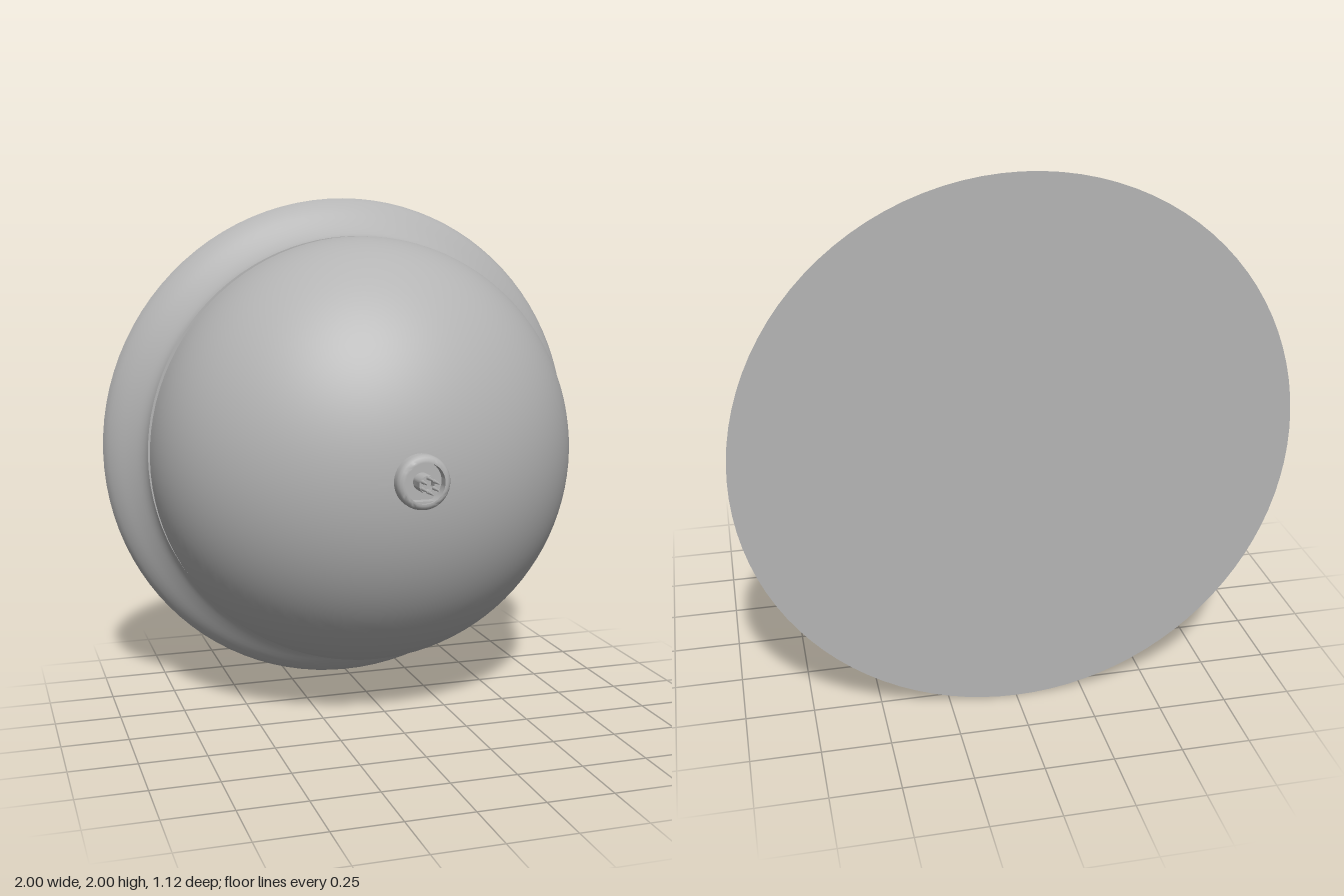
import * as THREE from 'three';
import { toCreasedNormals } from 'three/addons/utils/BufferGeometryUtils.js';

const grey = new THREE.MeshStandardMaterial({ color: 0xb4b4b4 });
grey.name = 'plain grey';

export function createModel() {
  const model = new THREE.Group();
  model.name = 'domeBell';
  // everything turns about the z axis at mid height
  const body = new THREE.Group();
  body.name = 'body';
  body.position.y = 1;
  model.add(body);

  function add(name, geometry, x = 0, y = 0, z = 0) {
    const mesh = new THREE.Mesh(geometry, grey);
    mesh.name = name;
    mesh.position.set(x, y, z);
    body.add(mesh);
    return mesh;
  }

  // profile of [radius, z] pairs, running from back to front on the outside
  function turned(name, profile, segments = 96) {
    const points = profile.map(([r, z]) => new THREE.Vector2(r, z));
    const geometry = new THREE.LatheGeometry(points, segments).rotateX(Math.PI / 2);
    return add(name, toCreasedNormals(geometry, 0.6));
  }

  // wall base: flat back, flared S-shaped side, flat front
  const flare = new THREE.SplineCurve([
    [1, -0.56], [0.987, -0.53], [0.957, -0.495], [0.91, -0.455],
    [0.875, -0.42], [0.857, -0.39], [0.85, -0.362],
  ].map(([r, z]) => new THREE.Vector2(r, z))).getPoints(18).map((p) => [p.x, p.y]);
  turned('wallBase', [[0, -0.56], ...flare, [0, -0.362]]);

  // hollow dome: outer wall up to the crown, inner wall back to the rim
  const outer = [], inner = [];
  const steps = 28;
  for (let i = 0; i <= steps; i++) {
    const a = (i / steps) * Math.PI / 2;
    const c = i === steps ? 0 : Math.cos(a);
    outer.push([0.85 * c, -0.31 + 0.74 * Math.sin(a)]);
    inner.unshift([0.83 * c, -0.31 + 0.72 * Math.sin(a)]);
  }
  turned('dome', [...outer, ...inner, [0.85, -0.31]]);

  // mounting plate and the two bracket strips that carry the dome
  turned('mountingPlate', [[0, -0.363], [0.21, -0.363], [0.21, -0.352], [0, -0.352]], 48);
  for (const y of [0.088, -0.088]) {
    add('bracketStrip', new THREE.BoxGeometry(0.14, 0.026, 0.74), 0, y, 0.015);
  }

  // rounded cap ring with a recess
  turned('capRing', [
    [0.1, 0.415], [0.1, 0.45], [0.098, 0.462], [0.092, 0.472], [0.082, 0.478],
    [0.074, 0.478], [0.074, 0.436], [0, 0.436],
  ], 48);

  // flat-sided edges across the recess
  for (const s of [1, -1]) {
    add('capFlat', new THREE.BoxGeometry(0.07, 0.008, 0.036), 0, s * 0.069, 0.454);
  }

  // hollow stud with a crown of prongs
  turned('stud', [
    [0.033, 0.43], [0.033, 0.505], [0.023, 0.505], [0.023, 0.47], [0, 0.47],
  ], 24);
  const prongs = 6;
  for (let i = 0; i < prongs; i++) {
    const a = ((i + 0.5) / prongs) * Math.PI * 2;
    const geometry = new THREE.CylinderGeometry(0.003, 0.008, 0.06, 6).rotateX(Math.PI / 2);
    add('prong', geometry, 0.025 * Math.cos(a), 0.025 * Math.sin(a), 0.53);
  }
  return model;
}
